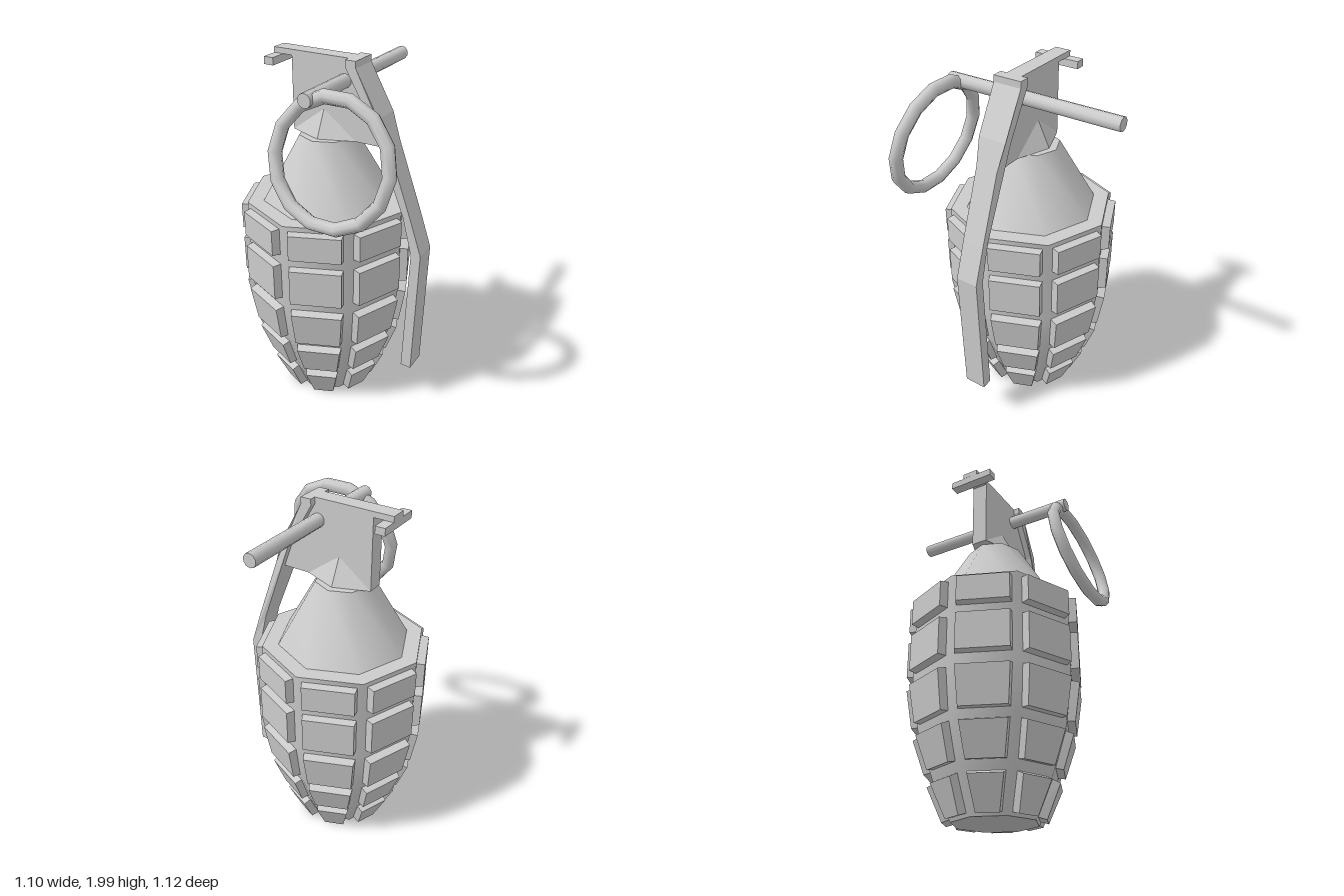
import * as THREE from 'three';
import { toCreasedNormals } from 'three/addons/utils/BufferGeometryUtils.js';
import { ConvexGeometry } from 'three/addons/geometries/ConvexGeometry.js';

const CX = -0.075, CZ = 0.03; // axis of the body
const STEP = Math.PI / 4; // eight-sided body
const smooth = new THREE.MeshStandardMaterial({ color: 0xcccccc });
const flat = new THREE.MeshStandardMaterial({ color: 0xcccccc, flatShading: true });

function add(parent, name, geometry, material, x = 0, y = 0, z = 0) {
  const mesh = new THREE.Mesh(geometry, material);
  mesh.name = name;
  mesh.position.set(x, y, z);
  parent.add(mesh);
  return mesh;
}

// Profile in x/y extruded along z, centred on z = 0
function plate(points, depth) {
  const shape = new THREE.Shape(points.map(([x, y]) => new THREE.Vector2(x, y)));
  return new THREE.ExtrudeGeometry(shape, { depth, bevelEnabled: false }).translate(0, 0, -depth / 2);
}

function lathe(points) {
  return new THREE.LatheGeometry(points.map(([r, y]) => new THREE.Vector2(r, y)), 8);
}

// Tapered block lying on one side of the octagon, following the body's slope
function blockGeometry([yTop, rTop, yBottom, rBottom]) {
  const geometry = new THREE.BoxGeometry(1, 1, 1);
  const p = geometry.attributes.position;
  const tilt = Math.atan2((rTop - rBottom) * Math.cos(STEP / 2), yTop - yBottom);
  for (let i = 0; i < p.count; i++) {
    const up = p.getY(i) > 0, outer = p.getZ(i) > 0;
    const r = up ? rTop : rBottom;
    const half = r * Math.sin(STEP / 2) - (outer ? 0.034 : 0.026);
    const lift = outer ? 0.045 : -0.02;
    const inset = outer ? (up ? -0.006 : 0.006) : 0;
    p.setXYZ(i,
      Math.sign(p.getX(i)) * half,
      (up ? yTop : yBottom) - lift * Math.sin(tilt) + inset,
      r * Math.cos(STEP / 2) + lift * Math.cos(tilt));
  }
  geometry.computeVertexNormals();
  return geometry;
}

export function createModel() {
  const model = new THREE.Group();
  model.name = 'grenade';

  // Body core
  const core = lathe([
    [0, 0.008], [0.23, 0.008], [0.325, 0.21], [0.41, 0.455], [0.45, 0.73],
    [0.45, 1.215], [0, 1.215],
  ]);
  add(model, 'body', toCreasedNormals(core, 0.82), smooth, CX, 0, CZ);

  // Five rows of raised blocks: top y, top radius, bottom y, bottom radius
  const rows = [
    [1.19, 0.45, 1.035, 0.45],
    [0.98, 0.45, 0.765, 0.45],
    [0.705, 0.447, 0.487, 0.412],
    [0.442, 0.402, 0.255, 0.338],
    [0.207, 0.32, 0.024, 0.24],
  ];
  const blocks = new THREE.Group();
  blocks.name = 'raisedBlocks';
  blocks.position.set(CX, 0, CZ);
  model.add(blocks);
  rows.forEach((row) => {
    const geometry = blockGeometry(row);
    for (let k = 0; k < 8; k++) {
      add(blocks, 'block', geometry, flat).rotation.y = (k + 0.5) * STEP;
    }
  });

  // Sloping shoulder
  add(model, 'neck', toCreasedNormals(lathe([[0.365, 1.21], [0.155, 1.575], [0, 1.575]]), 0.82),
    smooth, CX, 0, CZ);

  // Fuze head, with a faceted bulge where it meets the neck
  add(model, 'fuzeHead', plate([
    [-0.26, 1.575], [0.28, 1.575], [0.225, 1.71], [0.1, 1.94], [0.075, 1.985], [-0.26, 1.985],
  ], 0.09), flat, 0, 0, CZ);
  const bulge = [];
  for (const s of [-1, 1]) {
    bulge.push(
      new THREE.Vector3(-0.26, 1.575, s * 0.045),
      new THREE.Vector3(-0.07, 1.575, s * 0.115),
      new THREE.Vector3(0.12, 1.575, s * 0.045),
      new THREE.Vector3(-0.07, 1.72, s * 0.044));
  }
  add(model, 'fuzeBulge', new ConvexGeometry(bulge), flat, 0, 0, CZ);

  // Top strap and its cross bar
  add(model, 'topStrap', new THREE.BoxGeometry(0.46, 0.03, 0.09), flat, -0.14, 1.985, CZ);
  add(model, 'crossBar', new THREE.BoxGeometry(0.055, 0.04, 0.26), flat, -0.342, 1.95, 0.035);

  // Safety lever, narrowing below the head
  const lever = plate([
    [0.075, 2], [0.135, 2], [0.135, 1.965], [0.267, 1.73], [0.32, 1.59], [0.456, 1.22],
    [0.525, 1.02], [0.505, 0.265], [0.445, 0.268], [0.47, 1.01], [0.415, 1.22],
    [0.275, 1.58], [0.225, 1.71], [0.075, 1.965],
  ], 0.16);
  const p = lever.attributes.position;
  for (let i = 0; i < p.count; i++) {
    const half = p.getY(i) < 1.65 ? 0.063 : 0.08;
    p.setZ(i, Math.sign(p.getZ(i)) * half);
  }
  lever.computeVertexNormals();
  add(model, 'safetyLever', lever, flat, 0, 0, CZ);

  // Pull pin through the head
  const pin = new THREE.CylinderGeometry(0.037, 0.037, 1.005, 10).rotateX(Math.PI / 2);
  add(model, 'pullPin', toCreasedNormals(pin, 0.9), smooth, 0.055, 1.885, -0.058);

  // Pull ring hanging at a tilt
  const ring = add(model, 'pullRing', new THREE.TorusGeometry(0.312, 0.036, 8, 14), smooth,
    0.197, 1.607, 0.453);
  ring.rotation.x = -0.225;

  return model;
}
